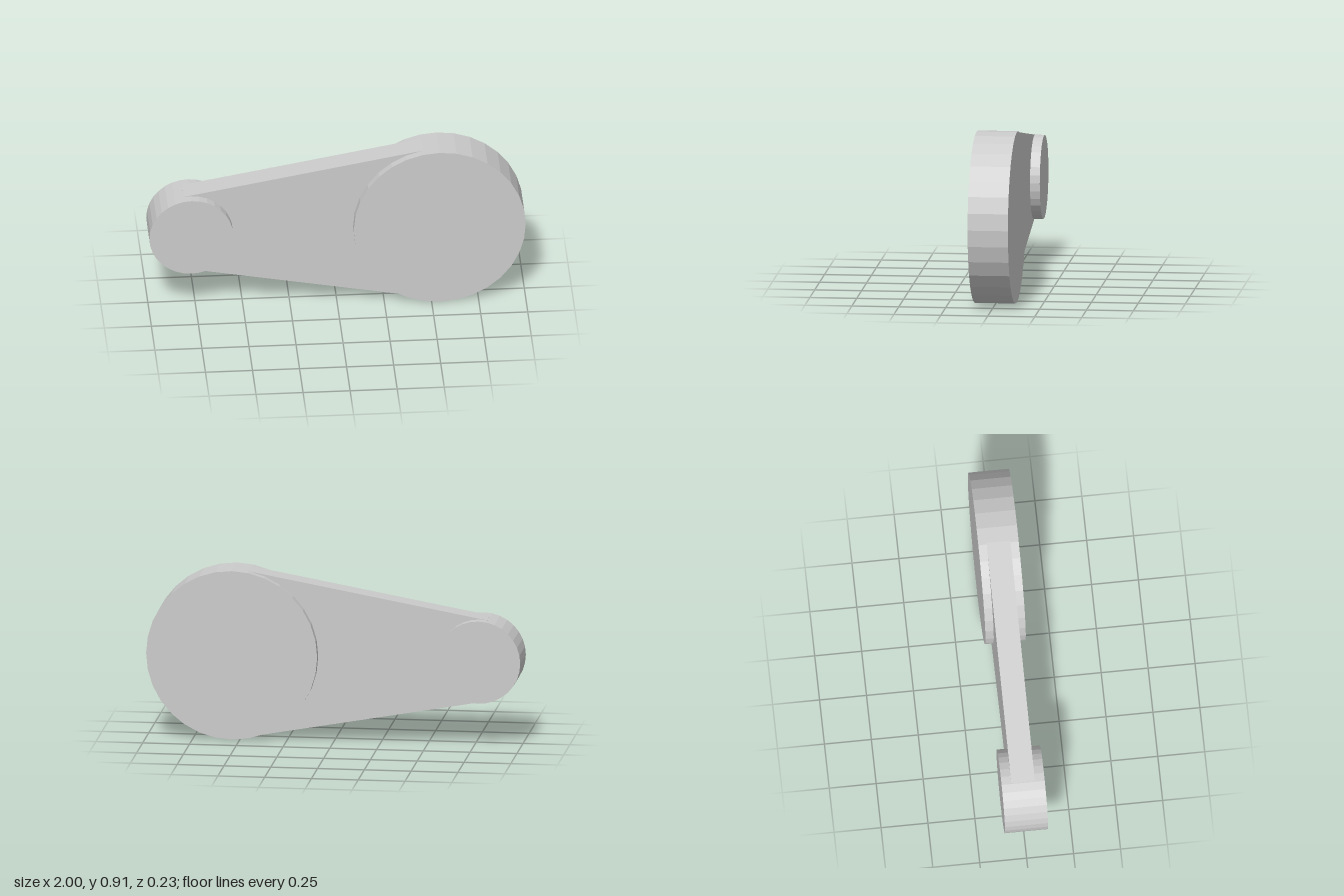
import * as THREE from 'three';

export function createModel() {
  const group = new THREE.Group();
  const material = new THREE.MeshStandardMaterial({ color: 0xcccccc, flatShading: true });
  const axisY = 0.457;
  const big = { x: 0.543, r: 0.457, depth: 0.215 };
  const small = { x: -0.777, r: 0.223, depth: 0.23 };

  const add = (name, geometry) => {
    const mesh = new THREE.Mesh(geometry, material);
    mesh.name = name;
    group.add(mesh);
    return mesh;
  };

  // Round end bosses, axis along z
  const addBoss = (name, { x, r, depth }) => {
    const geometry = new THREE.CylinderGeometry(r, r, depth, 32).rotateX(Math.PI / 2);
    add(name, geometry).position.set(x, axisY, 0);
  };
  addBoss('largeBoss', big);
  addBoss('smallBoss', small);

  // Tapered web whose edges run tangent to both bosses
  const sin = (big.r - small.r) / (big.x - small.x);
  const cos = Math.sqrt(1 - sin * sin);
  const tangent = ({ x, r }, side) => new THREE.Vector2(x - r * sin, axisY + side * r * cos);
  const outline = new THREE.Shape([
    tangent(small, -1), tangent(big, -1), tangent(big, 1), tangent(small, 1),
  ]);
  const thickness = 0.126;
  const web = new THREE.ExtrudeGeometry(outline, { depth: thickness, bevelEnabled: false });
  add('taperedWeb', web.translate(0, 0, -thickness / 2));

  return group;
}
